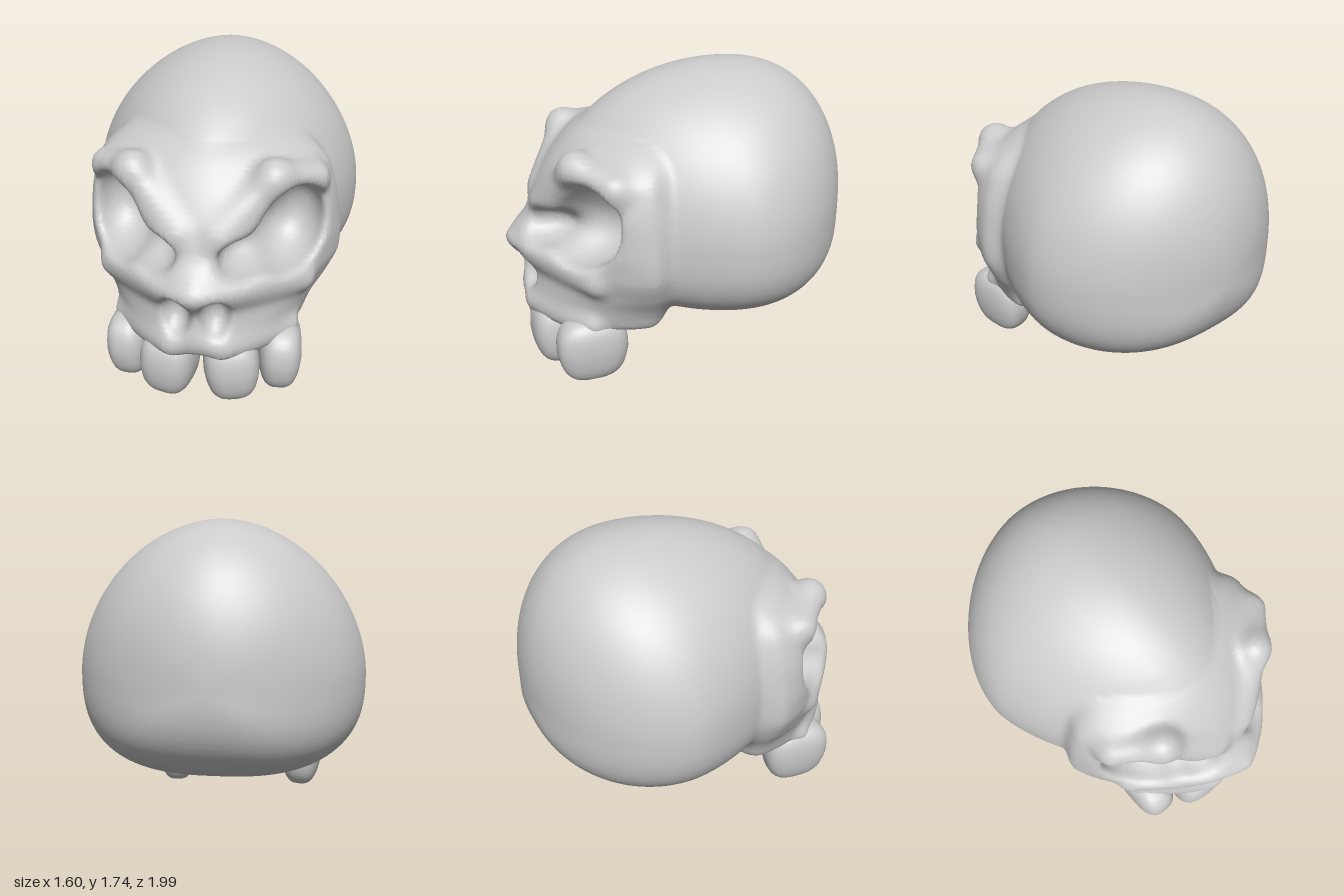
import * as THREE from 'three';
import { mergeVertices } from 'three/addons/utils/BufferGeometryUtils.js';

const material = new THREE.MeshStandardMaterial({ color: 0xcccccc, roughness: 0.8 });

// Smooth blends of signed distances
const smin = (a, b, k) => {
  const h = Math.max(k - Math.abs(a - b), 0) / k;
  return Math.min(a, b) - h * h * k * 0.25;
};
const smax = (a, b, k) => -smin(-a, -b, k);

// Smooth curve through [y, value] pairs
function lookup(table, y) {
  const last = table.length - 1;
  if (y <= table[0][0]) return table[0][1];
  if (y >= table[last][0]) return table[last][1];
  let i = 0;
  while (y > table[i + 1][0]) i++;
  const slope = (j) => {
    const a = table[Math.max(j - 1, 0)], b = table[Math.min(j + 1, last)];
    return (b[1] - a[1]) / (b[0] - a[0]);
  };
  const [y0, v0] = table[i], [y1, v1] = table[i + 1], w = y1 - y0, t = (y - y0) / w, u = 1 - t;
  return u * u * (1 + 2 * t) * v0 + t * t * (3 - 2 * t) * v1 + w * t * u * (u * slope(i) - t * slope(i + 1));
}

function ellipsoid(x, y, z, [cx, cy, cz], [rx, ry, rz]) {
  return (Math.hypot((x - cx) / rx, (y - cy) / ry, (z - cz) / rz) - 1) * Math.min(rx, ry, rz);
}

function capsule(x, y, z, a, b, r) {
  const d = [b[0] - a[0], b[1] - a[1], b[2] - a[2]];
  const p = [x - a[0], y - a[1], z - a[2]];
  const dot = (u, v) => u[0] * v[0] + u[1] * v[1] + u[2] * v[2];
  const t = THREE.MathUtils.clamp(dot(p, d) / dot(d, d), 0, 1);
  return Math.hypot(p[0] - d[0] * t, p[1] - d[1] * t, p[2] - d[2] * t) - r;
}

// Braincase: egg-shaped section; blunter from the side than from above
function cranium(x, y, z) {
  const dy = y - 0.9, dz = z + 0.3;
  const a = dy > 0 ? 1.87 : 2.7;
  const sx = (x / 0.8) ** a, sy = Math.abs(dy / (dy > 0 ? 0.85 : 0.56)) ** a;
  const upright = sy / (sx + sy + 1e-6);
  const b = dz > 0 ? 1.6 + 0.4 * upright : 1.85 + 0.5 * upright;
  const r = ((sx + sy) ** (b / a) + Math.abs(dz / (dz > 0 ? 1.05 : 0.7)) ** b) ** (1 / b);
  return (r - 1) * 0.7;
}

// Face: wedge-shaped plan whose depth, width and roundness vary with height
const DEPTH = [[0.3, 0.86], [0.42, 0.91], [0.6, 0.9], [0.75, 0.99], [0.83, 0.94], [0.92, 0.86],
  [1, 0.82], [1.1, 0.77], [1.2, 0.71], [1.3, 0.63], [1.4, 0.52], [1.46, 0.4]];
const WIDTH = [[0.3, 0.52], [0.4, 0.55], [0.5, 0.59], [0.6, 0.65], [0.75, 0.715], [1, 0.7], [1.2, 0.655],
  [1.3, 0.6], [1.4, 0.45], [1.46, 0.25]];
const ROUND = [[0.3, 2], [0.5, 1.75], [0.75, 1.4], [0.9, 1.6], [1.1, 1.9]];
function face(x, y, z) {
  const w = lookup(WIDTH, y), dz = z - 0.25;
  const u = x / w, v = Math.abs(dz / (dz > 0 ? lookup(DEPTH, y) - 0.25 : 0.2));
  const q = dz > 0 ? lookup(ROUND, y) : 2;
  const d = ((u ** q + v ** q) ** (1 / q) - 1) * 0.55;
  return smax(smax(d, y - 1.42, 0.1), 0.335 - y, 0.06);
}

// Raised ridges on one side, [start, end, radius]: brow, brow corner, cheek ledge, gum rim
const RIDGES = [
  [[0.12, 1.02, 0.74], [0.37, 1.29, 0.59], 0.085],
  [[0.37, 1.29, 0.59], [0.56, 1.24, 0.42], 0.085],
  [[0.17, 0.74, 0.8], [0.53, 0.68, 0.53], 0.055],
  [[0.14, 0.39, 0.84], [0.47, 0.38, 0.55], 0.05],
];
// Hollows on one side, [centre, radii]
const SOCKET = [
  [[0.46, 0.96, 0.6], [0.2, 0.19, 0.3]],
  [[0.5, 1.07, 0.58], [0.15, 0.17, 0.27]],
  [[0.25, 0.91, 0.79], [0.14, 0.1, 0.22]],
];
const NOSTRIL = [[0.112, 0.59, 0.94], [0.094, 0.13, 0.16]];
const PALATE = [[0, 0.3, 0.24], [0.36, 0.15, 0.34]];

function skullDistance(px, y, z) {
  const x = Math.abs(px);
  let d = smin(cranium(x, y, z), face(x, y, z), 0.12);
  for (const [a, b, r] of RIDGES) d = smin(d, capsule(x, y, z, a, b, r), 0.08);
  let hole = 1;
  for (const [c, r] of SOCKET) hole = smin(hole, ellipsoid(x, y, z, c, r), 0.07);
  d = smax(d, -hole, 0.05);
  d = smax(d, -ellipsoid(x, y, z, ...PALATE), 0.08);
  return smax(d, -ellipsoid(x, y, z, ...NOSTRIL), 0.025);
}

// Skin a distance field with one vertex per crossed grid cell
function skin(distance, min, max, step) {
  const n = min.map((lo, i) => Math.ceil((max[i] - lo) / step) + 1);
  const stride = [1, n[0], n[0] * n[1]];
  const field = new Float32Array(n[0] * n[1] * n[2]);
  const cell = new Int32Array(field.length);
  const eachCell = (from, visit) => {
    for (let k = from; k < n[2] - 1; k++)
      for (let j = from; j < n[1] - 1; j++)
        for (let i = from; i < n[0] - 1; i++) visit([i, j, k], i + j * stride[1] + k * stride[2]);
  };
  for (let id = 0; id < field.length; id++) {
    const i = id % n[0], j = Math.floor(id / n[0]) % n[1], k = Math.floor(id / stride[2]);
    field[id] = distance(min[0] + i * step, min[1] + j * step, min[2] + k * step);
  }

  const positions = [], indices = [];
  eachCell(0, (p, id) => {
    const sum = [0, 0, 0];
    let count = 0;
    for (let corner = 0; corner < 8; corner++) {
      const bits = [corner & 1, (corner >> 1) & 1, corner >> 2];
      const from = id + bits[0] + bits[1] * stride[1] + bits[2] * stride[2];
      for (let a = 0; a < 3; a++) {
        if (bits[a]) continue;
        const f0 = field[from], f1 = field[from + stride[a]];
        if (f0 < 0 === f1 < 0) continue;
        for (let c = 0; c < 3; c++) sum[c] += c === a ? f0 / (f0 - f1) : bits[c];
        count++;
      }
    }
    if (!count) return;
    cell[id] = positions.length / 3;
    positions.push(...sum.map((s, c) => min[c] + (p[c] + s / count) * step));
  });
  eachCell(1, (p, id) => {
    for (let a = 0; a < 3; a++) {
      const inside = field[id] < 0;
      if (inside === field[id + stride[a]] < 0) continue;
      const b = stride[(a + 1) % 3], c = stride[(a + 2) % 3];
      const q = [cell[id - b - c], cell[id - c], cell[id], cell[id - b]];
      if (!inside) q.reverse();
      indices.push(q[0], q[1], q[2], q[0], q[2], q[3]);
    }
  });
  const geometry = new THREE.BufferGeometry();
  geometry.setAttribute('position', new THREE.Float32BufferAttribute(positions, 3));
  geometry.setIndex(indices);
  geometry.computeVertexNormals();
  return geometry;
}

// Tooth: a sphere squared off, narrower towards the tip
function toothGeometry(w, h, d) {
  const sphere = new THREE.SphereGeometry(1, 32, 24);
  const pos = sphere.attributes.position, v = new THREE.Vector3(), p = 3;
  for (let i = 0; i < pos.count; i++) {
    v.fromBufferAttribute(pos, i);
    v.multiplyScalar((Math.abs(v.x) ** p + Math.abs(v.y) ** p + Math.abs(v.z) ** p) ** (-1 / p));
    const taper = 1 + 0.14 * Math.min(v.y, 0);
    pos.setXYZ(i, v.x * w * taper, v.y * h, v.z * d * taper);
  }
  sphere.deleteAttribute('uv');
  sphere.deleteAttribute('normal');
  const welded = mergeVertices(sphere, 1e-5);
  welded.computeVertexNormals();
  return welded;
}

export function createModel() {
  const model = new THREE.Group();
  model.name = 'skull';

  const bone = new THREE.Mesh(skin(skullDistance, [-0.87, 0.27, -1.07], [0.87, 1.83, 1.07], 0.02), material);
  bone.name = 'craniumAndFace';
  model.add(bone);

  // Two front and two side teeth, mirrored
  const frontTooth = toothGeometry(0.155, 0.2, 0.165);
  const sideTooth = toothGeometry(0.122, 0.2, 0.205);
  for (const [side, label] of [[1, 'left'], [-1, 'right']]) {
    const front = new THREE.Mesh(frontTooth, material);
    front.name = label + 'FrontTooth';
    front.position.set(side * 0.172, 0.208, 0.72);
    front.rotation.set(0, side * 0.2, side * 0.06);
    const outer = new THREE.Mesh(sideTooth, material);
    outer.name = label + 'SideTooth';
    outer.position.set(side * 0.425, 0.21, 0.555);
    outer.rotation.set(0, side * 0.12, side * -0.03);
    model.add(front, outer);
  }
  return model;
}
